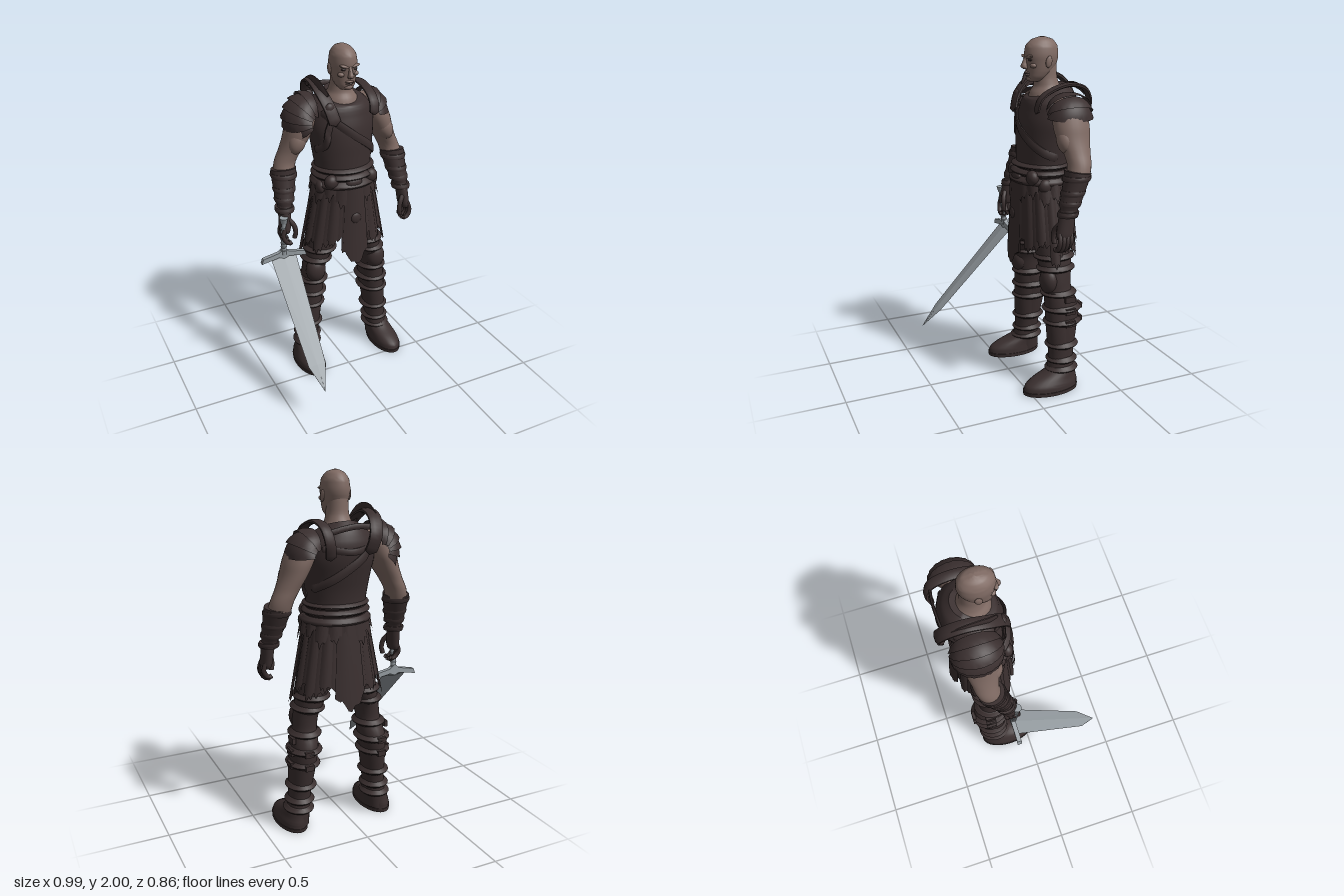
import * as THREE from 'three';
import { toCreasedNormals } from 'three/addons/utils/BufferGeometryUtils.js';

const mat = (name, color, side = THREE.FrontSide) => {
  const m = new THREE.MeshStandardMaterial({ color, side });
  m.name = name;
  return m;
};

// Grid surface from f(u, v); v wraps when closed
function surf(f, nu, nv, closed, crease = 0.8) {
  const pos = [], idx = [], cols = closed ? nv : nv + 1;
  for (let i = 0; i <= nu; i++)
    for (let j = 0; j < cols; j++) pos.push(...f(i / nu, j / nv, i));
  for (let i = 0; i < nu; i++)
    for (let j = 0; j < nv; j++) {
      const a = i * cols + j, b = i * cols + (j + 1) % cols, c = a + cols, d = b + cols;
      idx.push(a, c, d, a, d, b);
    }
  const g = new THREE.BufferGeometry();
  g.setAttribute('position', new THREE.Float32BufferAttribute(pos, 3));
  g.setIndex(idx);
  return toCreasedNormals(g, crease);
}

// Smooth blend of sections [x, y, z, rx, rz, tilt], listed from top to bottom
function blend(secs, s = 1) {
  const c = new THREE.CatmullRomCurve3(secs.map(p => new THREE.Vector3(p[0] * s, p[1], p[2])));
  const r = new THREE.CatmullRomCurve3(secs.map(p => new THREE.Vector3(p[3], p[4], p[5] || 0)));
  return t => [c.getPoint(t), r.getPoint(t)];
}
function loft(secs, s = 1, nv = 28) {
  const at = blend(secs, s), nu = (secs.length - 1) * 4 + 2;
  return surf((u, v, i) => {
    const t = Math.min(1, Math.max(0, (i - 1) / (nu - 2))), k = i === 0 || i === nu ? 0 : 1;
    const [c, r] = at(t), a = v * Math.PI * 2;
    return [c.x + k * r.x * Math.sin(a), c.y - k * r.z * Math.cos(a), c.z + k * r.y * Math.cos(a)];
  }, nu, nv, true);
}
// Flat belt of width w and thickness t along a path
function strap(pts, w, t, wide) {
  const c = new THREE.CatmullRomCurve3(pts.map(p => new THREE.Vector3(...p)));
  const W0 = new THREE.Vector3(...wide), n = 30;
  return surf((u, v, i) => {
    const p = c.getPoint(u), T = c.getTangent(u), k = i === 0 || i === n ? 0 : 1;
    const W = W0.clone().addScaledVector(T, -W0.dot(T)).normalize();
    const N = W.clone().cross(T), a = v * Math.PI * 2 + Math.PI / 8;
    p.addScaledVector(W, k * Math.cos(a) * w * 0.54).addScaledVector(N, k * Math.sin(a) * t * 0.54);
    return [p.x, p.y, p.z];
  }, n, 8, true);
}

export function createModel() {
  const root = new THREE.Group();
  root.name = 'warrior';
  const body = new THREE.Group();
  body.name = 'body';
  body.position.x = 0.05;
  root.add(body);

  const leather = mat('darkLeather', 0x3a2f2f, THREE.DoubleSide);
  const skin = mat('skin', 0x7f6a63);
  const steel = mat('steel', 0x969da2, THREE.DoubleSide);

  const add = (name, geo, m, parent = body) => {
    const mesh = new THREE.Mesh(geo, m);
    mesh.name = name;
    parent.add(mesh);
    return mesh;
  };
  const ball = (name, m, p, r) => {
    const b = add(name, new THREE.SphereGeometry(1, 20, 14), m);
    b.position.set(...p);
    b.scale.set(...r);
    return b;
  };
  const tube = (name, m, pts, r) => add(name, new THREE.TubeGeometry(
    new THREE.CatmullRomCurve3(pts.map(p => new THREE.Vector3(...p))), 10, r, 8), m);

  // Head and neck
  add('head', loft([[0, 1.999, -.18, .012, .015], [0, 1.985, -.178, .043, .06], [0, 1.95, -.175, .068, .092],
    [0, 1.90, -.174, .076, .098], [0, 1.86, -.173, .073, .091], [0, 1.82, -.165, .067, .077],
    [0, 1.785, -.15, .055, .06], [0, 1.762, -.14, .036, .045]]), skin);
  add('neck', loft([[0, 1.86, -.2, .056, .062], [0, 1.78, -.203, .06, .064], [0, 1.735, -.21, .072, .075],
    [0, 1.70, -.215, .096, .1], [0, 1.64, -.215, .12, .12]]), skin);
  add('nose', loft([[0, 1.892, -.085, .009, .01], [0, 1.865, -.075, .011, .014], [0, 1.84, -.072, .018, .019],
    [0, 1.828, -.08, .014, .012]], 1, 12), skin);
  ball('upperLip', skin, [0, 1.808, -.09], [.026, .007, .012]);
  ball('lowerLip', skin, [0, 1.796, -.092], [.022, .007, .012]);
  ball('mouth', leather, [0, 1.802, -.082], [.024, .002, .005]);
  ball('chin', skin, [0, 1.776, -.105], [.026, .016, .018]);
  for (const s of [-1, 1]) {
    ball('brow', skin, [s * .03, 1.894, -.089], [.031, .009, .015]).rotation.z = s * .22;
    ball('eyeSocket', leather, [s * .031, 1.878, -.093], [.018, .007, .009]);
    ball('cheek', skin, [s * .042, 1.848, -.108], [.02, .014, .018]);
    ball('ear', skin, [s * .077, 1.868, -.185], [.009, .032, .019]).rotation.x = -.2;
  }

  // Vest
  const vest = [[0, 1.715, -.215, .10, .10, .035], [0, 1.69, -.222, .145, .135, .02], [0, 1.64, -.228, .188, .155],
    [0, 1.55, -.215, .198, .165], [0, 1.46, -.2, .186, .158], [0, 1.38, -.19, .177, .147],
    [0, 1.30, -.185, .168, .142], [0, 1.2, -.185, .172, .145], [0, 1.05, -.185, .17, .14]];
  add('vest', loft(vest, 1, 40), leather);
  const vestAt = blend(vest);
  const onVest = (deg, y, off) => {
    let t = 0;
    while (t < 1 && vestAt(t)[0].y > y) t += .004;
    const [c, r] = vestAt(t), a = deg * Math.PI / 180;
    return [c.x + (r.x + off) * Math.sin(a), y, c.z + (r.y + off) * Math.cos(a)];
  };
  const around = (list, w, t) => strap(list.map(([a, y]) => onVest(a, y, .006)), w, t, [0, 1, 0]);
  add('chestStrap', around([[-55, 1.65], [-30, 1.6], [0, 1.52], [30, 1.45], [60, 1.39], [95, 1.35]], .045, .016), leather);
  add('sideStrap', around([[-30, 1.64], [-40, 1.55], [-50, 1.46], [-80, 1.42]], .04, .016), leather);
  add('backStrap', around([[225, 1.64], [200, 1.57], [180, 1.52], [150, 1.45], [110, 1.39]], .045, .016), leather);
  add('backCrossStrap', around([[130, 1.62], [180, 1.6], [230, 1.62]], .035, .016), leather);

  // Straps over the shoulders
  add('rightShoulderStrap', strap([[-.1, 1.58, -.05], [-.125, 1.68, -.085], [-.145, 1.755, -.16], [-.145, 1.79, -.27],
    [-.135, 1.76, -.365], [-.115, 1.68, -.418], [-.09, 1.58, -.395]], .07, .026, [1, 0, 0]), leather);
  add('leftShoulderStrap', strap([[.15, 1.6, -.075], [.155, 1.68, -.1], [.155, 1.73, -.18], [.15, 1.75, -.29],
    [.145, 1.72, -.375], [.135, 1.65, -.405], [.12, 1.56, -.38]], .055, .024, [1, 0, 0]), leather);
  add('napeBand', strap([[-.12, 1.72, -.385], [-.03, 1.73, -.39], [.06, 1.72, -.39], [.14, 1.7, -.38]], .03, .016, [0, 1, 0]), leather);
  ball('strapDisc', leather, [-.125, 1.67, -.085], [.032, .036, .02]);
  ball('backDisc', leather, [-.115, 1.66, -.405], [.035, .038, .025]);

  // Layered pauldrons: each lame flares out over the next
  const pauldron = (name, C, R, from, to, n) => {
    for (let i = 0; i < n; i++)
      add(name, surf((u, v) => {
        const th = (from + (to - from) * (i + u * 1.12) / n) * Math.PI / 180;
        const ph = (v - .5) * 2.85, rag = u === 1 ? 1 + .012 * Math.sin(v * 60 + i) : 1;
        const k = (.95 + .1 * u) * rag, w = Math.pow(Math.cos(ph), .7);
        return [C[0] + Math.sign(C[0]) * R[0] * Math.cos(th) * w * k, C[1] + R[1] * Math.sin(th) * w * k,
          C[2] + R[2] * Math.sin(ph) * k];
      }, 4, 24, false), leather);
  };
  pauldron('rightPauldron', [-.175, 1.585, -.25], [.155, .155, .135], 92, -38, 6);
  pauldron('leftPauldron', [.17, 1.585, -.25], [.135, .135, .13], 92, -2, 3);
  add('pauldronCrest', strap([[-.125, 1.72, -.12], [-.15, 1.79, -.17], [-.155, 1.80, -.25], [-.15, 1.76, -.35]], .05, .014, [0, 1, 0]), leather);

  for (const s of [-1, 1]) {
    const limb = (name, secs, m, n = 24) => add(name, loft(secs, s, n), m);
    const side = p => [p[0] * s, p[1], p[2]];

    // Arm, bracer and hand
    limb('arm', [[.18, 1.68, -.24, .05, .06], [.215, 1.62, -.24, .08, .095], [.243, 1.55, -.24, .08, .103],
      [.27, 1.48, -.24, .072, .095], [.305, 1.41, -.245, .064, .075], [.335, 1.35, -.245, .062, .066],
      [.35, 1.29, -.23, .062, .064], [.36, 1.22, -.2, .05, .05]], skin);
    ball('biceps', skin, side([.278, 1.475, -.19]), [.05, .075, .05]).rotation.z = s * .4;
    limb('bracer', [[.352, 1.318, -.228, .074, .072, -.01], [.356, 1.29, -.222, .073, .07], [.364, 1.22, -.2, .063, .064],
      [.376, 1.14, -.172, .053, .057], [.383, 1.085, -.157, .053, .057]], leather);
    for (const [x, y, z, r] of [[.356, 1.285, -.22, .078], [.366, 1.21, -.195, .067], [.374, 1.155, -.177, .06], [.382, 1.1, -.16, .058]])
      limb('bracerBand', [[x, y + .014, z - .004, r - .004, r - .002], [x, y, z, r, r], [x, y - .014, z + .004, r - .004, r - .002]], leather);
    limb('palm', [[.384, 1.1, -.155, .036, .045], [.388, 1.05, -.147, .034, .048], [.393, .99, -.138, .032, .05],
      [.395, .965, -.136, .026, .044]], leather, 16);
    for (let i = 0; i < 4; i++) {
      const z = -.103 - i * .022, d = [.006, 0, .003, .016][i];
      tube('finger', leather, [[.402, 1.0, z], [.417, .955, z + .004], [.408, .915 + d, z + .008],
        [.385, .895 + d, z + .01], [.37, .902 + d, z + .01]].map(side), .0135);
    }
    tube('thumb', leather, [[.38, 1.05, -.12], [.352, 1.01, -.1], [.343, .965, -.095], [.35, .93, -.1]].map(side), .0145);

    // Leg
    limb('leg', [[.09, 1.15, -.19, .09, .115], [.105, 1.0, -.19, .098, .115], [.13, .88, -.19, .095, .108],
      [.165, .76, -.195, .08, .1], [.19, .68, -.195, .068, .088], [.2, .6, -.2, .068, .082], [.212, .5, -.225, .076, .096],
      [.225, .36, -.222, .07, .086], [.238, .2, -.213, .06, .07], [.247, .1, -.21, .062, .08], [.25, .03, -.21, .06, .08]], leather);
    ball('kneeCap', leather, side([.203, .655, -.142]), [.062, .078, .052]);
    limb('shinGuard', [[.205, .595, -.19, .068, .078], [.213, .5, -.2, .073, .08], [.226, .36, -.2, .07, .076],
      [.238, .2, -.2, .062, .066], [.243, .13, -.195, .064, .07]], leather);
    for (const [x, y, z, rx, rz] of [[.155, .79, -.195, .089, .106], [.178, .725, -.195, .079, .1], [.201, .58, -.205, .078, .092],
      [.213, .49, -.222, .085, .103], [.221, .41, -.222, .08, .099], [.232, .27, -.215, .073, .084], [.24, .18, -.212, .069, .078],
      [.245, .125, -.21, .071, .084]])
      limb('legBand', [[x, y + .02, z, rx - .007, rz - .007], [x, y + .012, z, rx, rz],
        [x, y - .012, z, rx, rz], [x, y - .02, z, rx - .007, rz - .007]], leather);
    for (const [x, y] of [[.289, .555], [.297, .485], [.3, .41]]) {
      const b = add('legBuckle', new THREE.BoxGeometry(.02, .035, .06), leather);
      b.position.set(x * s, y, -.235);
    }
    for (const y of [.41, .49]) {
      const b = add('calfBuckle', new THREE.BoxGeometry(.05, .032, .02), leather);
      b.position.set(.225 * s, y, -.328);
    }

    // Boot
    limb('boot', [[.25, .14, -.215, .06, .075], [.256, .11, -.19, .068, .1], [.262, .08, -.155, .075, .138],
      [.267, .05, -.135, .083, .163], [.268, .02, -.13, .086, .168]], leather, 28);
    limb('sole', [[.268, .024, -.13, .089, .171], [.268, .002, -.13, .087, .169]], leather, 28);

    // Belt knots
    ball('beltKnot', leather, side([.125, 1.245, -.07]), [.042, .042, .035]);
    ball('beltPouch', leather, side([.168, 1.2, -.13]), [.028, .04, .04]);
  }

  // Belts
  for (const [y, h, r] of [[1.3, .016, .172], [1.262, .018, .177], [1.215, .024, .184]])
    add('belt', loft([[0, y + h, -.182, r - .006, r - .028], [0, y + h * .7, -.182, r, r - .021],
      [0, y - h * .7, -.182, r, r - .021], [0, y - h, -.182, r - .006, r - .028]], 1, 36), leather);
  ball('beltBuckle', leather, [0, 1.235, -.03], [.05, .03, .022]);

  // Skirt: rings of ragged hanging strips
  const onSkirt = (a, y, off) => {
    const q = (1.22 - y) / .45;
    return [(.17 + .09 * q + off) * Math.sin(a), y, -.182 - .013 * q + (.148 + .03 * q + off) * Math.cos(a)];
  };
  const strip = (name, deg, widthDeg, top, bottom, off, point = .03) => {
    const a0 = deg * Math.PI / 180, wa = widthDeg * Math.PI / 180;
    add(name, surf((u, v) => {
      const edge = bottom + point * Math.abs(v - .5) * 2 + .014 * Math.sin(v * 17 + deg);
      const bulge = off + .008 * Math.sin(v * Math.PI);
      return onSkirt(a0 + (v - .5) * wa, top + (edge - top) * u, bulge);
    }, 8, 10, false), leather);
  };
  const drop = [.75, .84, .80, .86, .79, .83, .82, .85];
  for (let i = 0; i < 16; i++) {
    const k = i <= 8 ? i : 16 - i;
    strip('underStrip', i * 22.5, 27, 1.22, drop[(k * 3) % 8] + .02, -.006);
    strip('skirtStrip', i * 22.5 + 11, 17, 1.22, drop[(i * 5 + 1) % 8], .007);
    strip('hipTab', i * 22.5, 22, 1.21, 1.09 + .02 * (i % 3), .016, .05);
  }
  strip('frontPanel', 0, 36, 1.22, .715, .018, .1);
  strip('backPanel', 180, 40, 1.22, .73, .012, .09);
  ball('frontStud', leather, [0, 1.02, -.006], [.032, .034, .014]);

  // Sword
  const sword = new THREE.Group();
  sword.name = 'sword';
  sword.position.set(-.36, .8, -.13);
  root.add(sword);
  const rows = [[0, .078, .007], [.655, .052, .006], [.81, .001, .001]];
  const blade = add('blade', surf((u, v, i) => {
    const [d, w, t] = rows[i], a = v * Math.PI * 2;
    return [w * Math.sin(a), -d, t * Math.cos(a)];
  }, 2, 4, true, .02), steel, sword);
  blade.rotation.x = -.767;
  const g = new THREE.Shape([[-.14, -.012], [-.13, .018], [-.03, .038], [0, .062], [.03, .038], [.13, .018], [.14, -.012],
    [.03, .008], [0, -.005], [-.03, .008]].map(p => new THREE.Vector2(...p)));
  const guard = add('guard', new THREE.ExtrudeGeometry(g, { depth: .026, bevelEnabled: false }), steel, sword);
  guard.position.z = -.013;
  const hilt = new THREE.Group();
  hilt.name = 'hilt';
  hilt.rotation.x = .1;
  sword.add(hilt);
  add('grip', new THREE.CylinderGeometry(.014, .016, .24, 12), steel, hilt).position.y = .14;
  for (let i = 0; i < 7; i++) {
    const r = add('gripRing', new THREE.TorusGeometry(.015, .004, 6, 14), steel, hilt);
    r.rotation.x = Math.PI / 2;
    r.position.y = .05 + i * .025;
  }
  add('pommel', new THREE.CylinderGeometry(.026, .018, .035, 8), steel, hilt).position.y = .252;
  return root;
}
